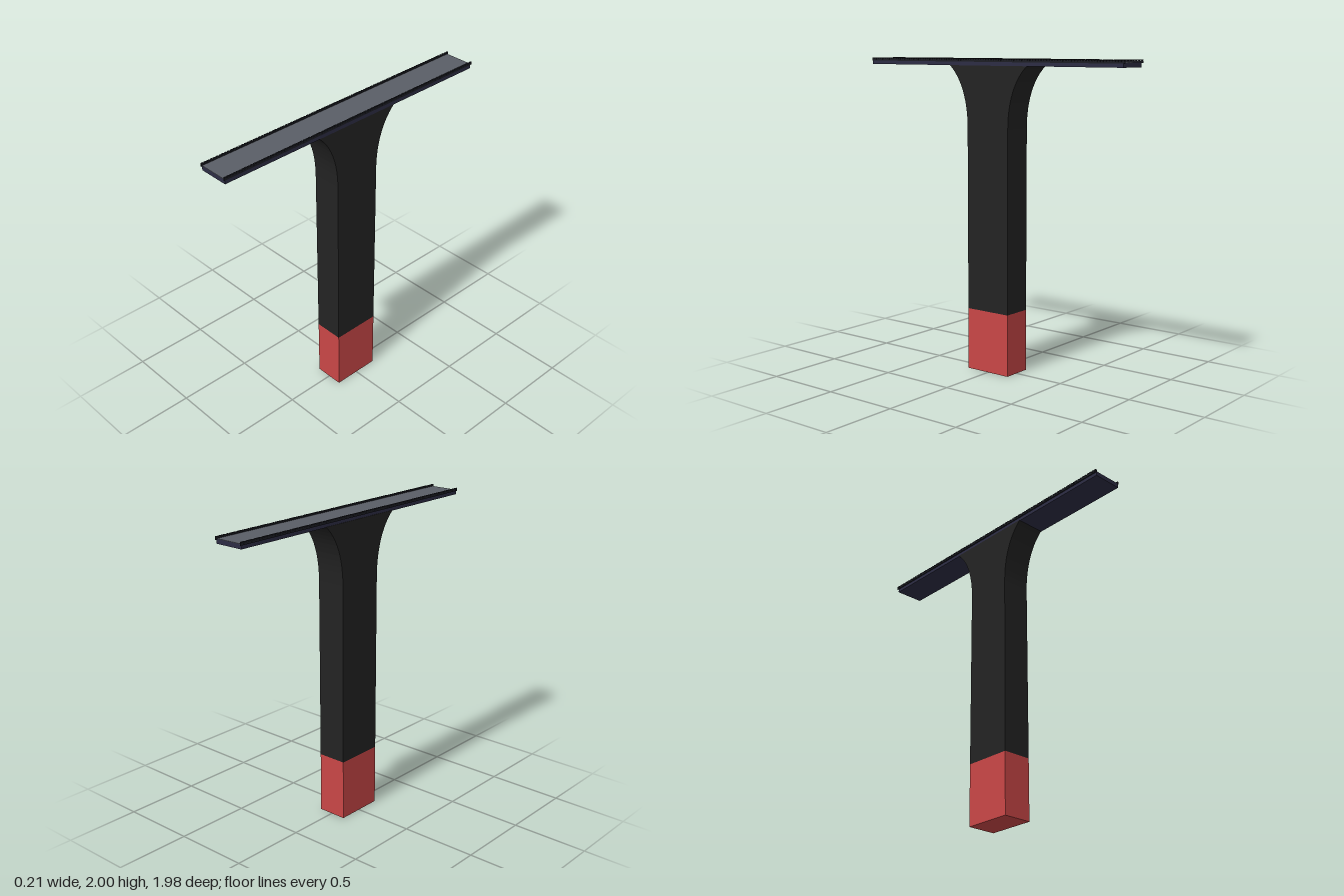
import * as THREE from 'three';
import { mergeGeometries } from 'three/addons/utils/BufferGeometryUtils.js';

const material = (name, color) => {
  const m = new THREE.MeshStandardMaterial({ color });
  m.name = name;
  return m;
};

// Box spanning the given limits on each axis
function span(x0, x1, y0, y1, z0, z1) {
  const g = new THREE.BoxGeometry(x1 - x0, y1 - y0, z1 - z0);
  return g.translate((x0 + x1) / 2, (y0 + y1) / 2, (z0 + z1) / 2);
}

export function createModel() {
  const model = new THREE.Group();
  model.name = 'bridgePier';
  const red = material('red footing', 0xc94747);
  const black = material('black pier', 0x232323);
  const navy = material('navy deck', 0x2d2d44);
  const grey = material('grey road', 0x5a5e66);
  const dark = material('dark railing', 0x1c1d24);

  const add = (name, geometry, mat) => {
    const mesh = new THREE.Mesh(geometry, mat);
    mesh.name = name;
    model.add(mesh);
  };

  // Footing
  add('footing', span(-0.1, 0.095, 0, 0.4, -0.157, 0.163), red);

  // Column with a flared head, drawn in the z-y plane and extruded along x
  const s = new THREE.Shape();
  s.moveTo(-0.157, 0.4);
  s.lineTo(0.163, 0.4);
  s.lineTo(0.163, 1.57);
  s.bezierCurveTo(0.163, 1.74, 0.215, 1.88, 0.31, 1.96);
  s.lineTo(-0.304, 1.96);
  s.bezierCurveTo(-0.209, 1.88, -0.157, 1.74, -0.157, 1.57);
  const column = new THREE.ExtrudeGeometry(s, { depth: 0.195, bevelEnabled: false, curveSegments: 12 });
  column.rotateY(-Math.PI / 2).translate(0.095, 0, 0);
  add('column', column, black);

  // Deck slab and road surface
  add('deck', span(-0.097, 0.099, 1.957, 1.984, -0.98, 0.985), navy);
  add('roadSurface', span(-0.095, 0.097, 1.984, 1.987, -0.98, 0.985), grey);

  // Railings: low kerb with a row of closely spaced posts
  for (const [name, x] of [['rightRailing', -0.1], ['leftRailing', 0.097]]) {
    const parts = [span(x - 0.003, x + 0.003, 1.98, 1.993, -0.99, 0.99)];
    for (let i = 0; i < 99; i++) {
      const z = -0.98 + i * 0.02;
      parts.push(span(x - 0.004, x + 0.004, 1.988, 2, z - 0.007, z + 0.007));
    }
    add(name, mergeGeometries(parts), dark);
  }
  return model;
}
